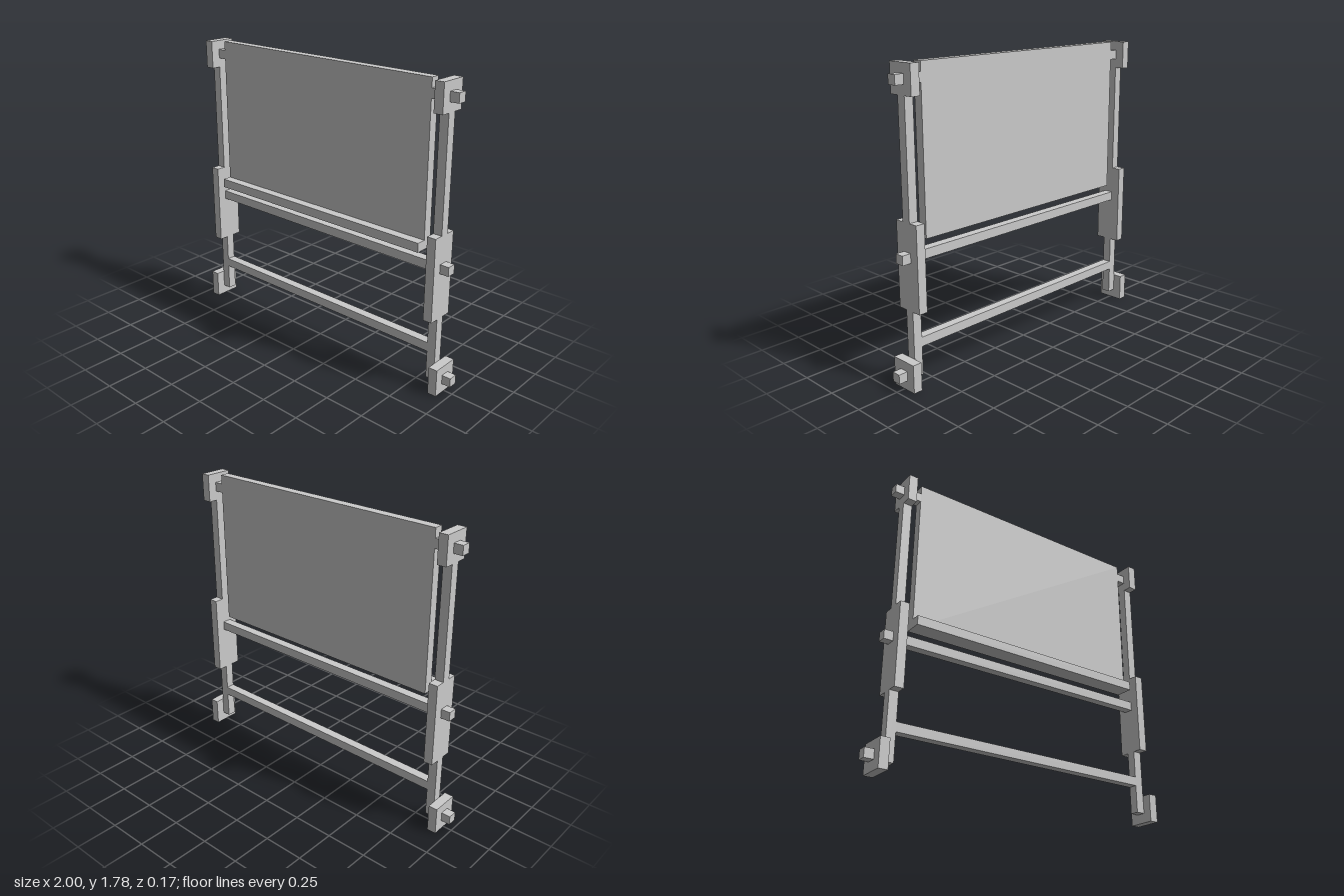
import * as THREE from 'three';

const material = new THREE.MeshStandardMaterial({ color: 0xcccccc, flatShading: true });
const T = 0.0275; // half thickness of the square timber
const W = 0.083; // half depth of the wide blocks
const POST_IN = 0.835, POST_OUT = 0.89, FOOT_OUT = 0.945;

// Box given by its limits on each axis
function box(name, x0, x1, y0, y1, z0 = -T, z1 = T) {
  const mesh = new THREE.Mesh(new THREE.BoxGeometry(x1 - x0, y1 - y0, z1 - z0), material);
  mesh.position.set((x0 + x1) / 2, (y0 + y1) / 2, (z0 + z1) / 2);
  mesh.name = name;
  return mesh;
}

// Upright with a wide middle plate and a wide top block, cut from one outline
function makePost() {
  const half = [
    [T, 0.058], [T, 0.445], [W, 0.445], [W, 0.945],
    [T, 0.945], [T, 1.613], [W, 1.613], [W, 1.78],
  ];
  const outline = [...half, ...half.map(([z, y]) => [-z, y]).reverse()];
  const shape = new THREE.Shape(outline.map(([z, y]) => new THREE.Vector2(z, y)));
  const geometry = new THREE.ExtrudeGeometry(shape, { depth: POST_OUT - POST_IN, bevelEnabled: false });
  geometry.rotateY(Math.PI / 2);
  return new THREE.Mesh(geometry, material);
}

export function createModel() {
  const group = new THREE.Group();

  // Board with its front ledge
  group.add(box('board', -0.78, 0.78, 0.835, 1.78));
  group.add(box('ledge', -0.78, 0.78, 0.835, 0.89, T, W));

  // Cross rails: the middle one passes through both posts
  group.add(box('middleRail', -FOOT_OUT, FOOT_OUT, 0.725, 0.78));
  group.add(box('lowerRail', -POST_IN, POST_IN, 0.225, 0.28));

  for (const side of [1, -1]) {
    const label = side > 0 ? 'left' : 'right';
    const span = (name, a, b, ...rest) =>
      group.add(box(label + name, Math.min(side * a, side * b), Math.max(side * a, side * b), ...rest));

    const post = makePost();
    post.position.x = side > 0 ? POST_IN : -POST_OUT;
    post.name = label + 'Post';
    group.add(post);

    // Pivot holding the board, foot block and its peg
    span('Pivot', 0.78, FOOT_OUT, 1.67, 1.725);
    span('Foot', POST_OUT, FOOT_OUT, 0, 0.167, -W, W);
    span('FootPeg', FOOT_OUT, 1, 0.058, 0.113);
  }
  return group;
}
